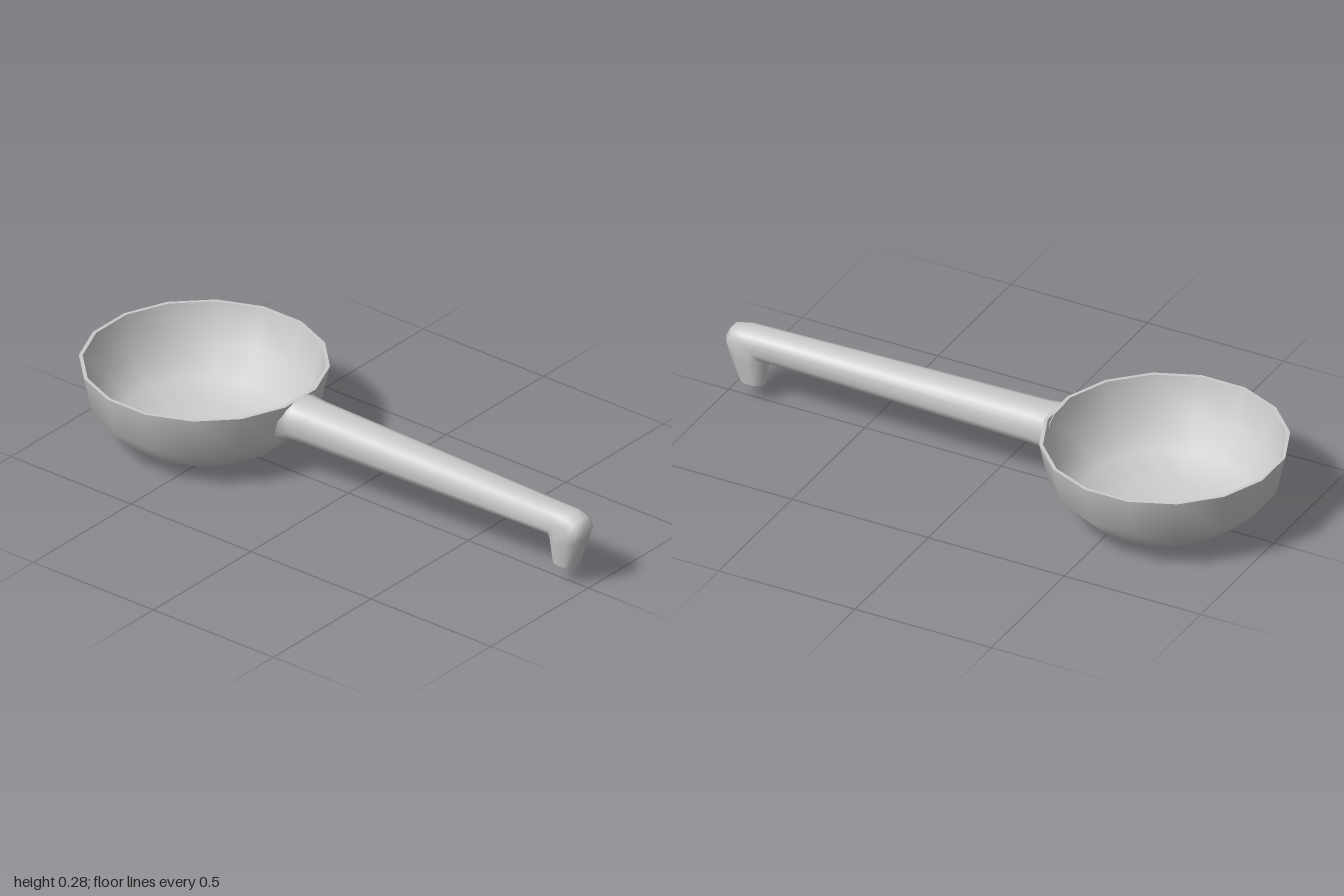
import * as THREE from 'three';

const SIDES = 16, BOWL_X = -0.6, STEP = Math.PI / SIDES;
// Bowl profiles as [radius to the flat sides, height]
const OUTER = [[0, 0], [0.155, 0.01], [0.285, 0.05], [0.37, 0.14], [0.4, 0.28]];
const INNER = [[0.388, 0.28], [0.357, 0.145], [0.275, 0.064], [0.15, 0.025], [0, 0.015]];

// x of the bowl's outer wall, on the handle side, at a given height and depth
function wallX(y, z) {
  let k = 1;
  while (k < OUTER.length - 1 && OUTER[k][1] < y) k++;
  const [r0, y0] = OUTER[k - 1], [r1, y1] = OUTER[k];
  const a = r0 + (r1 - r0) * (y - y0) / (y1 - y0);
  return BOWL_X + Math.min(a, (a - Math.abs(z) * Math.sin(2 * STEP)) / Math.cos(2 * STEP));
}

// Skin rounded sections given as [topX, topY, bottomX, bottomY, halfWidth]
function loft(sections, n = 12) {
  const pos = [], index = [];
  const soft = v => Math.sign(v) * (Math.abs(v) / Math.cos(Math.PI / n)) ** 0.78;
  sections.forEach(([tx, ty, bx, by, w], i) => {
    for (let j = 0; j < n; j++) {
      const t = (j + 0.5) / n * Math.PI * 2;
      const s = soft(Math.sin(t)) / 2, z = w * soft(Math.cos(t));
      const y = (ty + by) / 2 + (ty - by) * s;
      // the first section hugs the bowl wall
      const x = i === 0 ? wallX(y, z) - 0.005 : (tx + bx) / 2 + (tx - bx) * s;
      pos.push(x, y, z);
      if (i < sections.length - 1) {
        const a = i * n + j, b = i * n + (j + 1) % n;
        index.push(a, a + n, b, b, a + n, b + n);
      }
    }
  });
  const geo = new THREE.BufferGeometry();
  geo.setAttribute('position', new THREE.Float32BufferAttribute(pos, 3));
  geo.setIndex(index);
  geo.computeVertexNormals();
  // flat cap over the last section
  const ring = pos.slice(-3 * n), capIndex = [];
  for (let j = 1; j < n - 1; j++) capIndex.push(0, j + 1, j);
  const cap = new THREE.BufferGeometry();
  cap.setAttribute('position', new THREE.Float32BufferAttribute(ring, 3));
  cap.setIndex(capIndex);
  cap.computeVertexNormals();
  return [geo, cap];
}

export function createModel() {
  const group = new THREE.Group();
  group.name = 'ladle';
  const material = new THREE.MeshStandardMaterial({ color: 0xcccccc });
  const add = (name, geo, parent) => {
    const mesh = new THREE.Mesh(geo, material);
    mesh.name = name;
    parent.add(mesh);
  };

  // Bowl: outer shell, flat rim and inner shell
  const bowl = new THREE.Group();
  bowl.name = 'bowl';
  bowl.position.x = BOWL_X;
  const turn = profile => new THREE.LatheGeometry(
    profile.map(([r, y]) => new THREE.Vector2(r / Math.cos(STEP), y)), SIDES, STEP);
  add('bowlOutside', turn(OUTER), bowl);
  add('bowlRim', turn([OUTER[4], INNER[0]]), bowl);
  add('bowlInside', turn(INNER), bowl);
  group.add(bowl);

  // Handle: flared root, tapering shaft, then a downturned hook
  const [handle, tip] = loft([
    [0, 0.279, 0, 0.075, 0.125],
    [-0.215, 0.28, -0.245, 0.122, 0.098],
    [-0.185, 0.279, -0.205, 0.144, 0.082],
    [-0.14, 0.278, -0.14, 0.146, 0.075],
    [0.82, 0.263, 0.82, 0.16, 0.056],
    [0.94, 0.261, 0.855, 0.161, 0.055],
    [0.982, 0.25, 0.857, 0.156, 0.055],
    [1.0, 0.215, 0.859, 0.148, 0.055],
    [0.989, 0.175, 0.86, 0.135, 0.052],
    [0.95, 0.063, 0.866, 0.063, 0.035],
  ]);
  add('handle', handle, group);
  add('hookTip', tip, group);
  return group;
}
